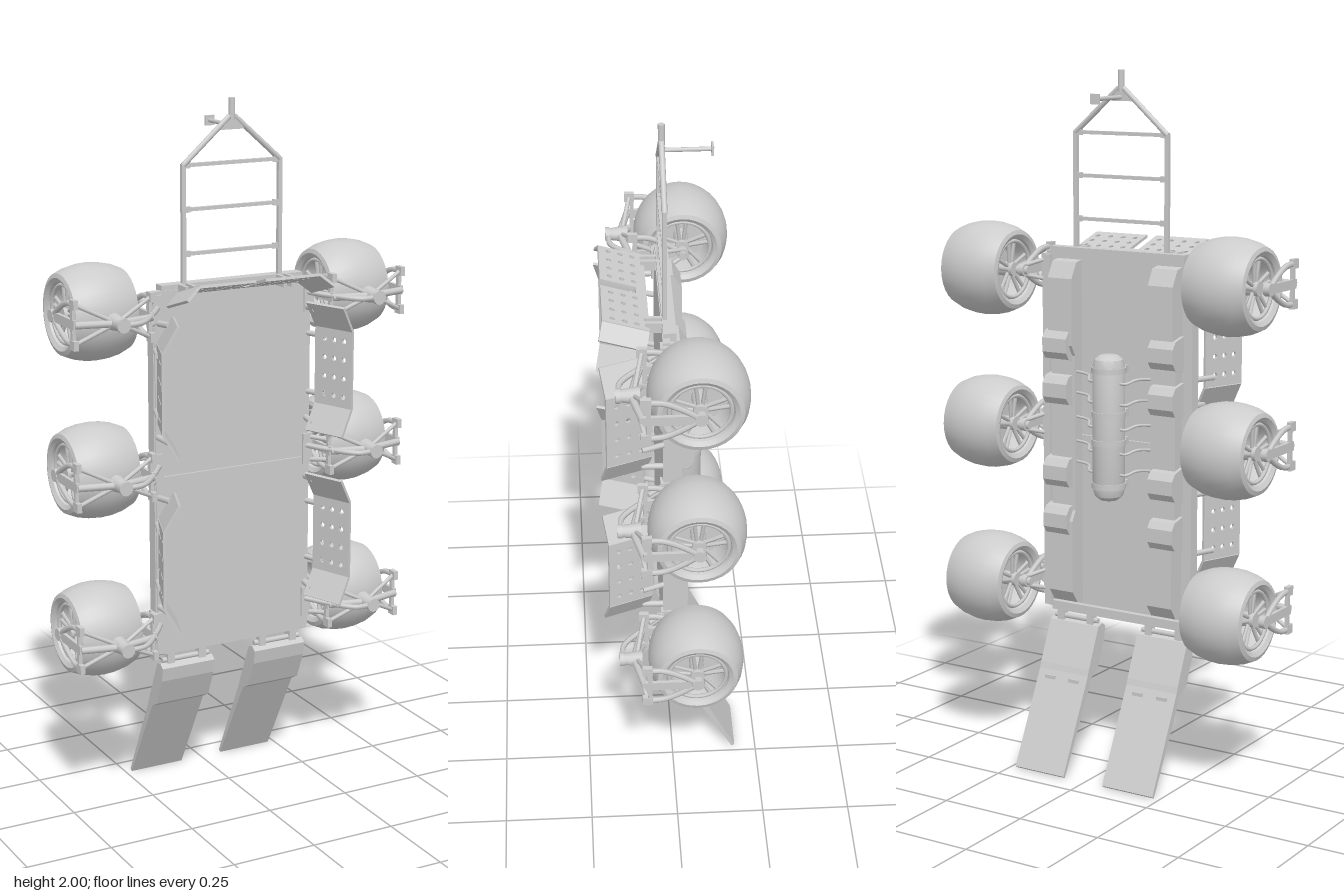
import * as THREE from 'three';
import { toCreasedNormals } from 'three/addons/utils/BufferGeometryUtils.js';

const mat = new THREE.MeshStandardMaterial({ color: 0xcccccc, side: THREE.DoubleSide });
const V = (x, y, z) => new THREE.Vector3(x, y, z);

function add(parent, name, geo, x = 0, y = 0, z = 0) {
  const m = new THREE.Mesh(geo, mat);
  m.name = name;
  m.position.set(x, y, z);
  parent.add(m);
  return m;
}
const box = (p, name, w, h, d, x, y, z) => add(p, name, new THREE.BoxGeometry(w, h, d), x, y, z);

// Round bar between two points
function rod(p, name, a, b, r, sides = 8, r2 = r) {
  const d = b.clone().sub(a);
  const m = add(p, name, new THREE.CylinderGeometry(r2, r, d.length(), sides));
  m.position.copy(a).addScaledVector(d, 0.5);
  m.quaternion.setFromUnitVectors(V(0, 1, 0), d.normalize());
  return m;
}
function tube(p, name, pts, r) {
  return add(p, name, new THREE.TubeGeometry(new THREE.CatmullRomCurve3(pts), 16, r, 6));
}
const lathe = (pts, n) => toCreasedNormals(
  new THREE.LatheGeometry(pts.map(q => new THREE.Vector2(q[0], q[1])), n), 0.6);

// Side outline given as [z, y], extruded between two x values
function sideProfile(p, name, pts, x0, x1) {
  const s = new THREE.Shape(pts.map(q => new THREE.Vector2(q[0], q[1])));
  const g = new THREE.ExtrudeGeometry(s, { depth: x1 - x0, bevelEnabled: false });
  g.rotateY(-Math.PI / 2).translate(x1, 0, 0);
  return add(p, name, g);
}

// Perforated sheet with a flat middle and two bent ends
function panel(name, half, end, depth, width, holeXs, slot) {
  const g = new THREE.Group(), t = 0.008;
  g.name = name;
  const s = new THREE.Shape();
  s.moveTo(-half, 0).lineTo(half, 0).lineTo(half, width);
  if (slot) s.lineTo(0.015, width).lineTo(0.015, 0.03).lineTo(-0.015, 0.03).lineTo(-0.015, width);
  s.lineTo(-half, width).closePath();
  for (const x of holeXs) for (const k of [0.26, 0.52, 0.78]) {
    s.holes.push(new THREE.Path().absarc(x, width * k, 0.0075, 0, Math.PI * 2, true));
  }
  add(g, 'perforatedSheet', new THREE.ExtrudeGeometry(s, { depth: t, bevelEnabled: false, curveSegments: 5 }), 0, 0, -t / 2);
  const dx = end - half;
  for (const k of [1, -1]) {
    box(g, 'bentEnd', Math.hypot(dx, depth), width, t, k * (half + end) / 2, width / 2, -depth / 2)
      .rotation.y = k * Math.atan2(depth, dx);
  }
  return g;
}
function place(g, normal, across, pos) {
  const m = new THREE.Matrix4().makeBasis(across.clone().cross(normal), across, normal);
  g.quaternion.setFromRotationMatrix(m);
  g.position.copy(pos);
  return g;
}

// Fat barrel tyre on a spoked rim, axle along x
function makeWheel() {
  const g = new THREE.Group();
  g.name = 'wheel';
  const tyre = lathe([[0.084, -0.07], [0.088, -0.088], [0.1, -0.096], [0.112, -0.092], [0.125, -0.062],
    [0.132, -0.03], [0.134, 0], [0.132, 0.03], [0.125, 0.062], [0.112, 0.092], [0.1, 0.096],
    [0.088, 0.088], [0.084, 0.07], [0.078, 0.05], [0.078, -0.05], [0.084, -0.07]], 32).rotateZ(Math.PI / 2);
  add(g, 'tyre', tyre);
  add(g, 'rimDisc', new THREE.CylinderGeometry(0.078, 0.078, 0.02, 24).rotateZ(Math.PI / 2));
  rod(g, 'hub', V(-0.085, 0, 0), V(0.085, 0, 0), 0.02, 16);
  for (const s of [1, -1]) {
    add(g, 'rimRing', new THREE.TorusGeometry(0.08, 0.006, 6, 32).rotateY(Math.PI / 2), s * 0.078);
    for (let i = 0; i < 5; i++) for (const k of [-0.16, 0.16]) {
      const a = i * Math.PI * 0.4 + Math.PI / 2, b = a + k;
      rod(g, 'spoke', V(s * 0.07, Math.sin(a + k * 2) * 0.018, Math.cos(a + k * 2) * 0.018),
        V(s * 0.074, Math.sin(b) * 0.08, Math.cos(b) * 0.08), 0.006, 5);
    }
  }
  return g;
}

// Wheel with its straddling fork and the links to the deck
function makeWheelUnit(s, y) {
  const g = new THREE.Group();
  g.name = s > 0 ? 'leftWheelUnit' : 'rightWheelUnit';
  g.position.y = y;
  const cx = 0.395, cz = -0.056, P = (x, yy, z) => V(s * x, yy, z);
  const w = makeWheel();
  w.position.set(s * cx, 0, cz);
  g.add(w);
  rod(g, 'kingpin', P(cx, 0, 0.095), P(cx, 0, 0.15), 0.024, 12, 0.016);
  rod(g, 'kingpinCap', P(cx, 0, 0.145), P(cx, 0, 0.158), 0.02, 12);
  for (const x of [0.282, 0.507]) {
    rod(g, 'crossArm', P(cx, 0, 0.118), P(x, 0, 0.092), 0.01);
    for (const k of [1, -1]) {
      rod(g, 'diagonalArm', P(cx, 0, 0.112), P(x, k * 0.055, 0.085), 0.006);
      tube(g, 'forkLeg', [P(x, k * 0.055, 0.085), P(x, k * 0.052, 0.04), P(x, k * 0.03, -0.01), P(x, 0, cz)], 0.008);
      box(g, 'armEnd', 0.014, 0.026, 0.028, s * x, k * 0.055, 0.085);
    }
    box(g, 'forkPlate', 0.01, 0.026, 0.15, s * x, 0, 0.018);
    box(g, 'forkTie', 0.01, 0.11, 0.012, s * x, 0, 0.078);
    rod(g, 'axleNut', P(x - 0.01, 0, cz), P(x + 0.008, 0, cz), 0.018, 10);
  }
  // Links to the deck
  tube(g, 'steeringLink', [P(cx, 0, 0.148), P(0.34, 0, 0.145), P(0.275, 0.005, 0.08), P(0.235, 0.01, 0.03)], 0.008);
  for (const k of [1, -1]) {
    rod(g, 'swingLink', P(0.282, k * 0.03, 0.07), P(0.236, k * 0.035, 0.015), 0.007);
    rod(g, 'lowerLink', P(0.282, k * 0.012, cz), P(0.24, k * 0.03, 0.005), 0.006);
  }
  rod(g, 'axleStub', P(0.3, 0, cz), P(0.262, 0, cz), 0.012);
  box(g, 'deckPivot', 0.03, 0.09, 0.04, s * 0.238, 0, 0.015);
  return g;
}

function makeDrawbar() {
  const g = new THREE.Group(), z = 0.018;
  g.name = 'drawbar';
  for (const s of [1, -1]) {
    box(g, 'rail', 0.012, 0.35, 0.012, s * 0.149, 1.655, z);
    rod(g, 'tongue', V(s * 0.149, 1.826, z), V(s * 0.008, 1.95, z), 0.008);
    for (const y of [1.585, 1.706, 1.826]) box(g, 'railGusset', 0.022, 0.016, 0.01, s * 0.14, y, z);
  }
  for (const y of [1.585, 1.706, 1.826]) box(g, 'rung', 0.3, 0.01, 0.01, 0, y, z);
  const tri = new THREE.Shape([[-0.035, 1.915], [0.035, 1.915], [0.01, 1.955], [-0.01, 1.955]].map(q => new THREE.Vector2(...q)));
  add(g, 'hitchPlate', new THREE.ExtrudeGeometry(tri, { depth: 0.012, bevelEnabled: false }), 0, 0, z - 0.006);
  rod(g, 'hitchPin', V(0, 1.94, z), V(0, 2, z), 0.009, 10);
  rod(g, 'supportLeg', V(0, 1.925, z + 0.006), V(0, 1.925, -0.112), 0.006);
  box(g, 'supportFoot', 0.028, 0.028, 0.006, 0, 1.925, -0.114);
  return g;
}

function makeTank() {
  const g = new THREE.Group();
  g.name = 'tank';
  g.position.set(0, 1.01, -0.047);
  add(g, 'tankBody', lathe([[0, -0.21], [0.025, -0.207], [0.04, -0.195], [0.046, -0.175], [0.046, 0.175],
    [0.04, 0.195], [0.025, 0.207], [0, 0.21]], 24));
  for (const y of [-0.165, -0.04, 0.04, 0.165]) {
    add(g, 'strap', new THREE.CylinderGeometry(0.049, 0.049, 0.016, 24), 0, y);
    box(g, 'saddle', 0.07, 0.02, 0.05, 0, y, 0.025);
  }
  for (const s of [1, -1]) for (const y of [-0.13, -0.07, 0, 0.07, 0.13]) {
    tube(g, 'hose', [V(s * 0.04, y, -0.01), V(s * 0.06, y, -0.008), V(s * 0.08, y + 0.01, 0.02), V(s * 0.135, y + 0.015, 0.03)], 0.004);
  }
  return g;
}

export function createModel() {
  const root = new THREE.Group();
  root.name = 'sixWheelTrailer';

  // Deck in two plates with an edge frame
  box(root, 'lowerDeckPlate', 0.486, 0.523, 0.02, 0, 0.7045, 0.018);
  box(root, 'upperDeckPlate', 0.486, 0.523, 0.02, 0, 1.2295, 0.018);
  for (const y of [0.452, 1.492]) box(root, 'endBeam', 0.44, 0.026, 0.035, 0, y, 0.008);
  for (const s of [1, -1]) {
    box(root, 'sideRail', 0.022, 1.03, 0.034, s * 0.236, 0.965, 0.008);
    // Long channel below the deck with blocks along it
    const a = s > 0 ? 0.125 : -0.205;
    sideProfile(root, 'channel', [[0.01, 0.47], [-0.02, 0.475], [-0.045, 0.51], [-0.045, 0.72], [-0.028, 0.75], [-0.028, 1.2],
      [-0.045, 1.23], [-0.045, 1.42], [-0.02, 1.465], [0.01, 1.47]], a, a + 0.08);
    for (const y of [0.72, 0.86, 1.1, 1.23]) {
      sideProfile(root, 'channelBlock', [[0, y - 0.05], [-0.045, y - 0.04], [-0.06, y - 0.02], [-0.06, y + 0.02], [-0.045, y + 0.04], [0, y + 0.05]],
        s > 0 ? 0.135 : -0.215, s > 0 ? 0.215 : -0.135);
    }
    for (const y of [0.525, 0.99, 1.437]) root.add(makeWheelUnit(s, y));

    // Folding side panels leaning outward
    for (const y of [0.747, 1.243]) {
      const t = 0.36, c = Math.cos(t), n = Math.sin(t);
      root.add(place(panel('sidePanel', 0.112, 0.185, 0.042, 0.132, [-0.08, -0.027, 0.027, 0.08]),
        V(s * c, 0, -n), V(s * n, 0, c), V(s * 0.248, y, 0.058)));
      for (const k of [1, -1]) {
        rod(root, 'panelHinge', V(s * 0.236, y + k * 0.16, 0.015), V(s * 0.228, y + k * 0.165, 0.085), 0.009);
        rod(root, 'panelStay', V(s * 0.236, y + k * 0.085, 0.015), V(s * 0.262, y + k * 0.085, 0.085), 0.008);
      }
    }

    // Loading ramp
    const x0 = s > 0 ? 0.066 : -0.232;
    sideProfile(root, 'ramp', [[0.037, 0.4], [0.03, 0.36], [-0.004, 0.28], [-0.036, 0.262], [-0.18, 0], [-0.188, 0.006],
      [-0.058, 0.27], [-0.052, 0.288], [0, 0.405], [0.02, 0.412]], x0, x0 + 0.166);
    for (const k of [-0.05, 0.05]) {
      box(root, 'rampHinge', 0.022, 0.05, 0.022, s * 0.149 + k, 0.425, 0.014);
      box(root, 'rampLatch', 0.035, 0.012, 0.012, s * 0.149 + k * 0.8, 0.25, -0.064);
    }
    rod(root, 'hingePin', V(s * 0.075, 0.418, 0.014), V(s * 0.223, 0.418, 0.014), 0.008);
    // Headboard brackets
    for (const x of [0.14, 0.165]) box(root, 'headboardBracket', 0.01, 0.03, 0.06, s * x, 1.49, 0.04);
  }

  // Headboard at the drawbar end
  const t = 0.3, c = Math.cos(t), n = Math.sin(t);
  root.add(place(panel('headboard', 0.185, 0.226, 0.035, 0.13, [-0.165, -0.122, -0.08, -0.04, 0.04, 0.08, 0.122, 0.165], true),
    V(0, c, -n), V(0, n, c), V(0, 1.488, 0.06)));

  root.add(makeDrawbar(), makeTank());
  return root;
}
